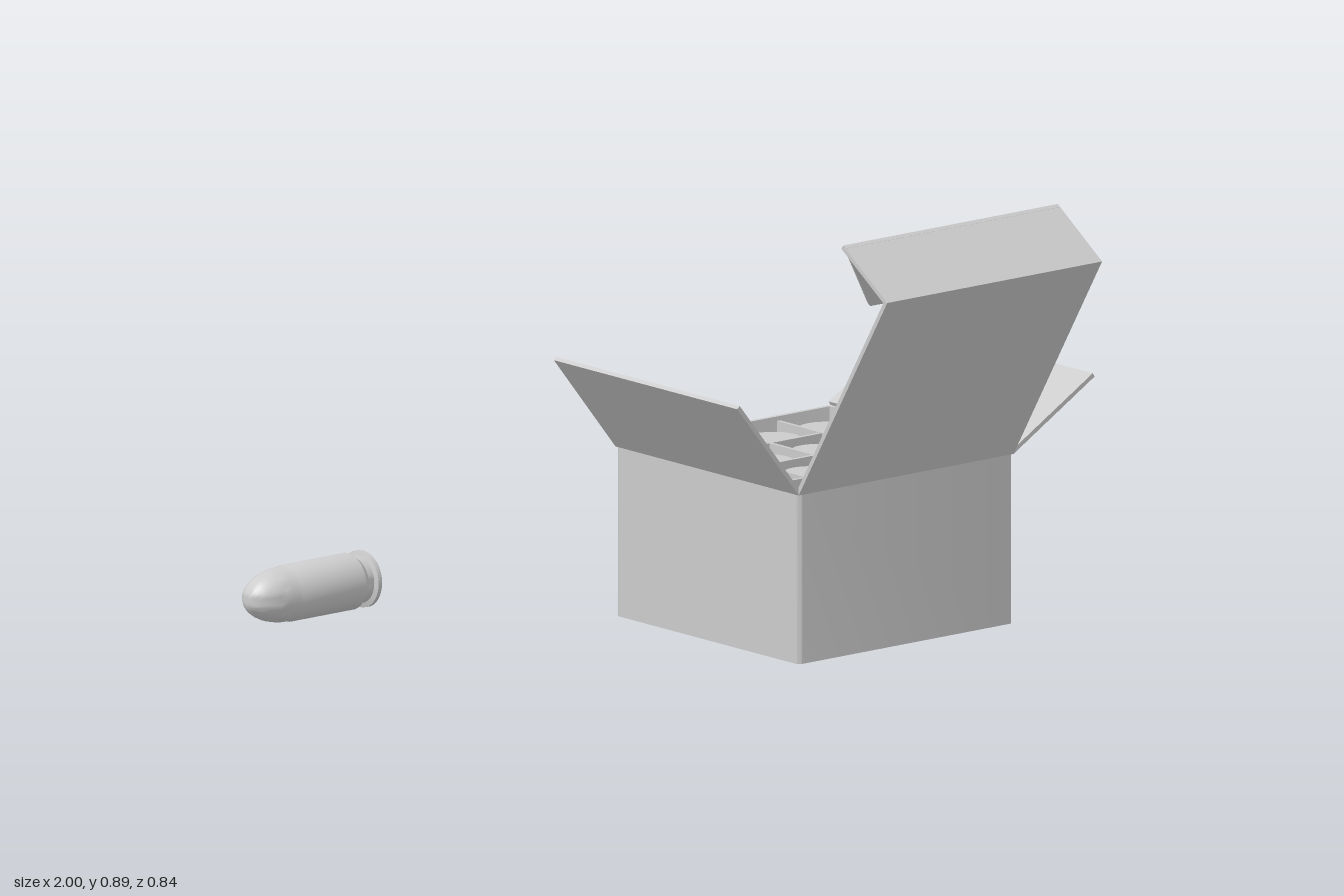
import * as THREE from 'three';
import { toCreasedNormals } from 'three/addons/utils/BufferGeometryUtils.js';

const material = new THREE.MeshStandardMaterial({ color: 0xcccccc });
const X0 = 0.22, X1 = 0.785, Z0 = -0.42, Z1 = 0.147, H = 0.348;
const CX = (X0 + X1) / 2, CZ = (Z0 + Z1) / 2, W = X1 - X0, D = Z1 - Z0;
const CARD = 0.009;

function add(parent, name, geometry) {
  const mesh = new THREE.Mesh(geometry, material);
  mesh.name = name;
  parent.add(mesh);
  return mesh;
}

// Rounded rectangle outline centred on the origin
function roundedRect(target, w, d, r) {
  const x = w / 2, y = d / 2;
  target.moveTo(-x + r, -y);
  target.lineTo(x - r, -y).absarc(x - r, -y + r, r, -Math.PI / 2, 0);
  target.lineTo(x, y - r).absarc(x - r, y - r, r, 0, Math.PI / 2);
  target.lineTo(-x + r, y).absarc(-x + r, y - r, r, Math.PI / 2, Math.PI);
  target.lineTo(-x, -y + r).absarc(-x + r, -y + r, r, Math.PI, Math.PI * 1.5);
  return target;
}

// Card panel hinged at `from`, reaching `to`; its thickness lies behind the outer face
function panel(from, to, across, widthFrom, widthTo) {
  const dir = to.clone().sub(from), length = dir.length();
  dir.normalize();
  const normal = across.clone().cross(dir);
  const shape = new THREE.Shape([
    new THREE.Vector2(-widthFrom / 2, 0), new THREE.Vector2(widthFrom / 2, 0),
    new THREE.Vector2(widthTo / 2, length), new THREE.Vector2(-widthTo / 2, length),
  ]);
  const geometry = new THREE.ExtrudeGeometry(shape, { depth: CARD, bevelEnabled: false });
  geometry.translate(0, 0, -CARD);
  return geometry.applyMatrix4(new THREE.Matrix4().makeBasis(across, dir, normal).setPosition(from));
}

// Round: flat base, rim, extractor groove, case and domed nose, standing on its base
function roundGeometry() {
  const profile = [
    [0, 0], [0.056, 0], [0.058, 0.002], [0.058, 0.011], [0.048, 0.014],
    [0.048, 0.028], [0.058, 0.042], [0.058, 0.205], [0.057, 0.208], [0.056, 0.215],
  ].map(([r, y]) => new THREE.Vector2(r, y));
  for (let i = 1; i <= 10; i++) {
    const a = (i / 10) * Math.PI / 2;
    profile.push(new THREE.Vector2(i === 10 ? 0 : 0.056 * Math.cos(a), 0.215 + 0.095 * Math.sin(a)));
  }
  return toCreasedNormals(new THREE.LatheGeometry(profile, 32), 0.5);
}

export function createModel() {
  const model = new THREE.Group();
  model.name = 'cartridgeBox';

  // Carton walls and floor
  const carton = new THREE.Group();
  carton.name = 'carton';
  model.add(carton);
  const outline = roundedRect(new THREE.Shape(), W, D, 0.012);
  outline.holes.push(roundedRect(new THREE.Path(), W - 2 * CARD, D - 2 * CARD, 0.005));
  const walls = new THREE.ExtrudeGeometry(outline, { depth: H, bevelEnabled: false, curveSegments: 5 });
  walls.rotateX(-Math.PI / 2).translate(CX, 0, CZ);
  add(carton, 'walls', toCreasedNormals(walls, 0.6));
  const floor = new THREE.ExtrudeGeometry(roundedRect(new THREE.Shape(), W - 0.002, D - 0.002, 0.012),
    { depth: CARD, bevelEnabled: false, curveSegments: 5 });
  add(carton, 'floor', floor.rotateX(-Math.PI / 2).translate(CX, 0, CZ));

  // Tucking lid: main panel, edge panel and tapered tongue
  const lid = new THREE.Group();
  lid.name = 'lid';
  model.add(lid);
  const right = new THREE.Vector3(1, 0, 0);
  const fold = [[H, Z1], [0.793, 0.421], [0.887, 0.284], [0.727, 0.181]]
    .map(([y, z]) => new THREE.Vector3(CX, y, z));
  add(lid, 'lidPanel', panel(fold[0], fold[1], right, W, W));
  add(lid, 'lidEdge', panel(fold[1], fold[2], right, W, W));
  add(lid, 'lidTongue', panel(fold[2], fold[3], right, W, 0.26));

  // Side flaps, folded open at different angles
  const flap = (x, tipX, tipY, side) => panel(new THREE.Vector3(x, H, CZ),
    new THREE.Vector3(tipX, tipY, CZ), new THREE.Vector3(0, 0, side), D, D);
  add(model, 'leftFlap', flap(X1, 0.998, 0.475, -1));
  add(model, 'rightFlap', flap(X0, 0.058, 0.55, 1));

  // Crossed dividers
  const dividers = new THREE.Group();
  dividers.name = 'dividers';
  model.add(dividers);
  const inW = W - 2 * CARD, inD = D - 2 * CARD, pitchX = (W - 0.01) / 4, pitchZ = (D - 0.01) / 4;
  for (let i = -1; i <= 1; i++) {
    add(dividers, 'lengthDivider', new THREE.BoxGeometry(0.008, 0.33, inD))
      .position.set(CX + i * pitchX, 0.174, CZ);
    add(dividers, 'crossDivider', new THREE.BoxGeometry(inW, 0.33, 0.008))
      .position.set(CX, 0.1735, CZ + i * pitchZ);
  }

  // Packed rounds, nose down, and one loose round lying outside
  const round = roundGeometry();
  const packed = new THREE.Group();
  packed.name = 'packedRounds';
  model.add(packed);
  for (let i = 0; i < 4; i++) {
    for (let j = 0; j < 4; j++) {
      const mesh = add(packed, 'packedRound', round);
      mesh.rotation.x = Math.PI;
      mesh.position.set(CX + (i - 1.5) * pitchX, 0.325, CZ + (j - 1.5) * pitchZ);
    }
  }
  const loose = add(model, 'looseRound', round);
  loose.rotation.z = Math.PI / 2;
  loose.position.set(-0.69, 0.267, -0.127);

  return model;
}
